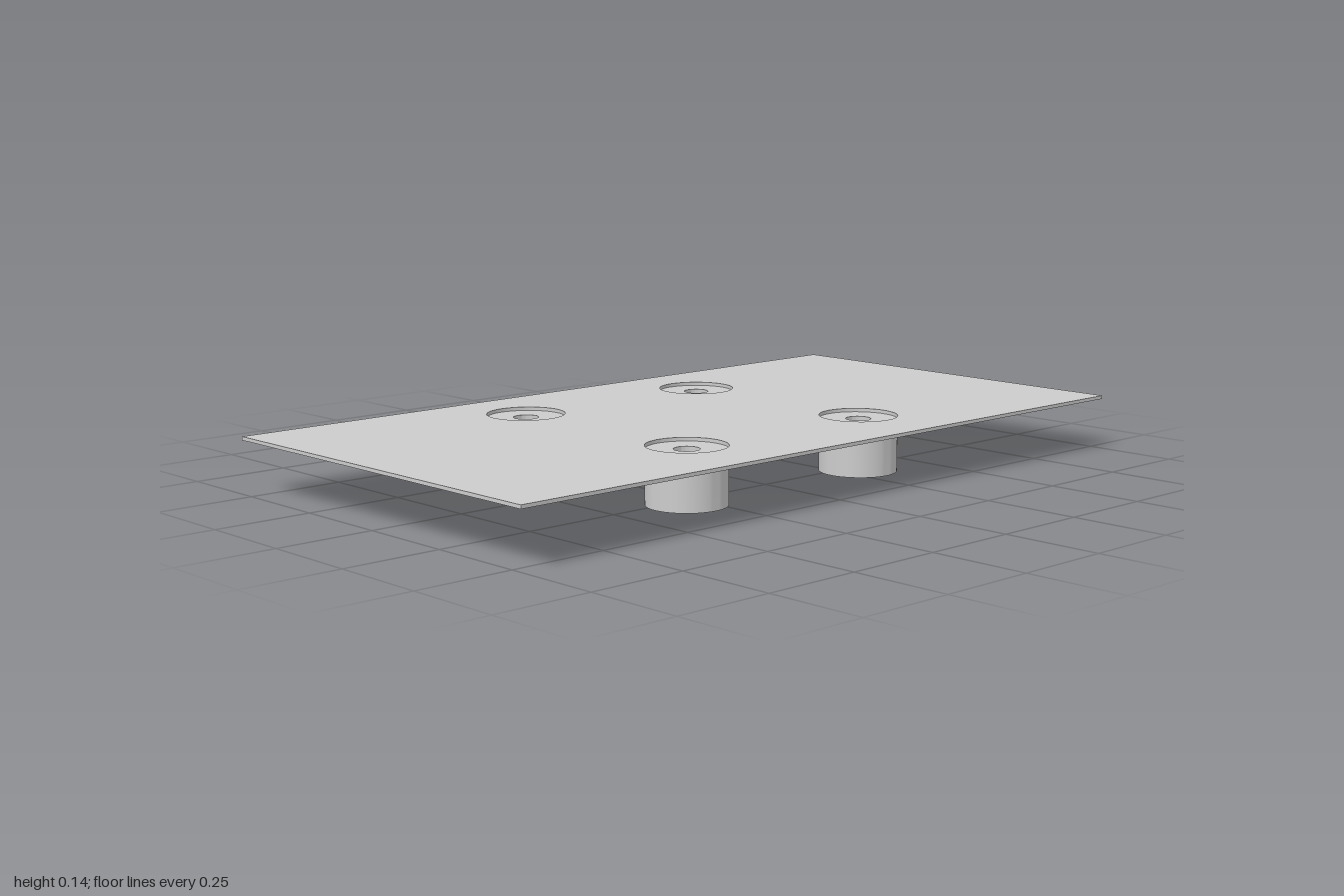
import * as THREE from 'three';
import { toCreasedNormals } from 'three/addons/utils/BufferGeometryUtils.js';

const WIDTH = 1.064, LENGTH = 2;
const PLATE_BOTTOM = 0.134, PLATE_TOP = 0.143;
const OUTER_R = 0.1, BORE_R = 0.032;

// Extrude a flat shape upwards, with smooth round walls and sharp rims
function extrudeUp(shape, height) {
  const geometry = new THREE.ExtrudeGeometry(shape, { depth: height, bevelEnabled: false, curveSegments: 32 });
  geometry.rotateX(-Math.PI / 2);
  return toCreasedNormals(geometry, Math.PI / 6);
}

function circle(PathType, x, y, r) {
  return new PathType().absarc(x, y, r, 0, Math.PI * 2, false);
}

export function createModel() {
  const group = new THREE.Group();
  group.name = 'mountingPlate';
  const material = new THREE.MeshStandardMaterial({ color: 0xcccccc });

  const positions = [];
  for (const x of [-0.314, 0.285]) for (const z of [-0.3, 0.3]) positions.push([x, z]);

  // Thin plate with a round opening above each spacer
  const w = WIDTH / 2, l = LENGTH / 2;
  const outline = new THREE.Shape([
    new THREE.Vector2(-w, -l), new THREE.Vector2(w, -l),
    new THREE.Vector2(w, l), new THREE.Vector2(-w, l),
  ]);
  for (const [x, z] of positions) outline.holes.push(circle(THREE.Path, x, -z, OUTER_R));
  const plate = new THREE.Mesh(extrudeUp(outline, PLATE_TOP - PLATE_BOTTOM), material);
  plate.name = 'plate';
  plate.position.y = PLATE_BOTTOM;
  group.add(plate);

  // Four cylindrical spacers with a through bore, ending at the plate's underside
  const ring = circle(THREE.Shape, 0, 0, OUTER_R);
  ring.holes.push(circle(THREE.Path, 0, 0, BORE_R));
  const spacerGeometry = extrudeUp(ring, PLATE_BOTTOM);
  for (const [x, z] of positions) {
    const spacer = new THREE.Mesh(spacerGeometry, material);
    spacer.name = `${z > 0 ? 'front' : 'back'}${x > 0 ? 'Left' : 'Right'}Spacer`;
    spacer.position.set(x, 0, z);
    group.add(spacer);
  }

  return group;
}
